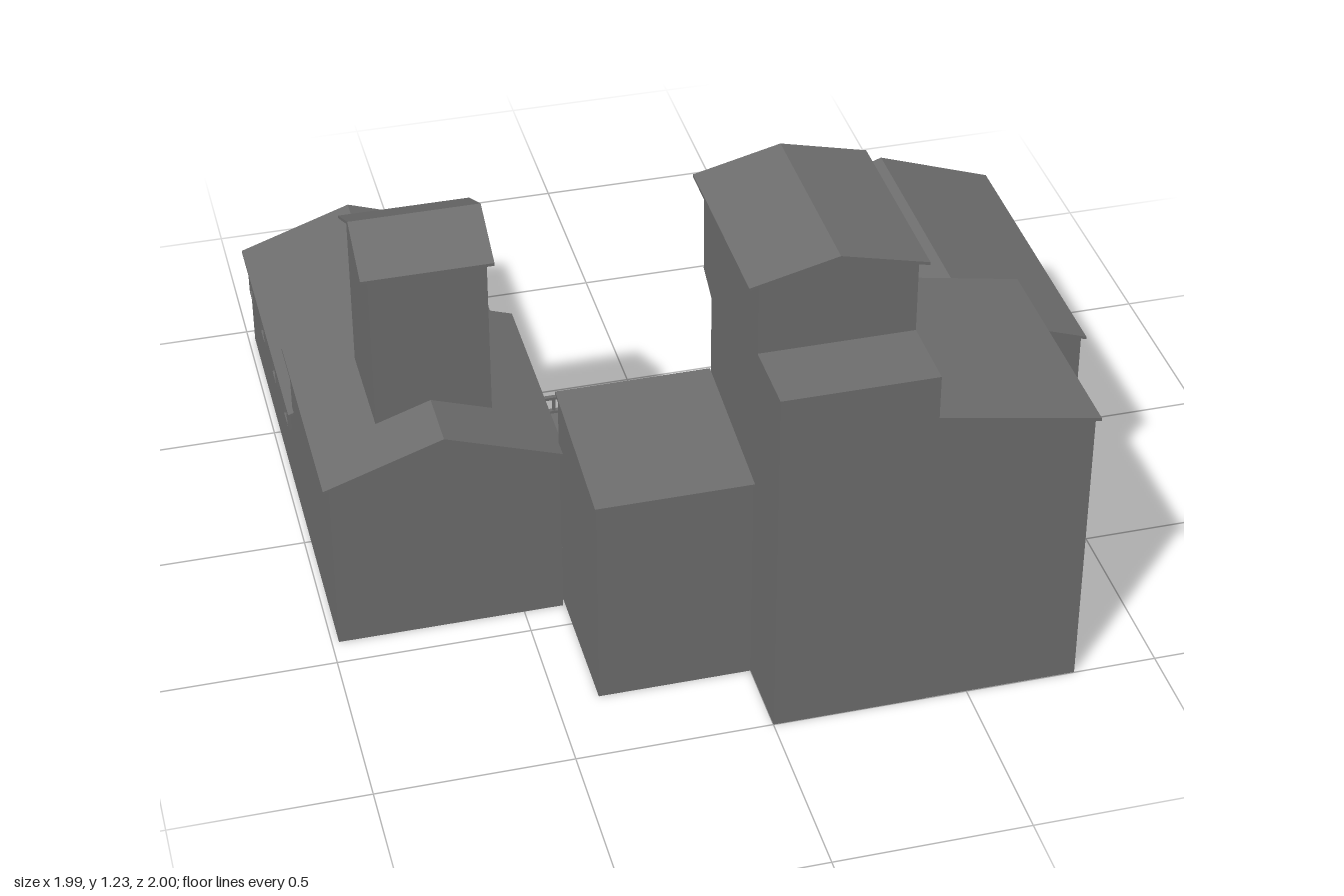
import * as THREE from 'three';

const mat = new THREE.MeshStandardMaterial({ color: 0x6e6e6e, flatShading: true, side: THREE.DoubleSide });

export function createModel() {
  const model = new THREE.Group();

  const add = (name, geo, parent = model) => {
    const mesh = new THREE.Mesh(geo, mat);
    mesh.name = name;
    parent.add(mesh);
    return mesh;
  };

  // Box given by its low and high limits on each axis
  const box = (name, x0, x1, y0, y1, z0, z1, parent) => {
    const m = add(name, new THREE.BoxGeometry(x1 - x0, y1 - y0, z1 - z0), parent);
    m.position.set((x0 + x1) / 2, (y0 + y1) / 2, (z0 + z1) / 2);
    return m;
  };

  const outline = pts => pts.map(p => new THREE.Vector2(...p));

  // Outline in x/y drawn out from z0 to z1
  const prism = (name, pts, z0, z1, parent, steps = 1) => {
    const geo = new THREE.ExtrudeGeometry(new THREE.Shape(outline(pts)), { depth: z1 - z0, steps, bevelEnabled: false });
    const m = add(name, geo, parent);
    m.position.z = z0;
    return m;
  };

  // Outline in z/y drawn out from x0 to x1
  const sidePrism = (name, pts, x0, x1, steps = 1) => {
    const m = prism(name, pts.map(([z, y]) => [-z, y]), 0, x1 - x0, model, steps);
    m.rotation.y = Math.PI / 2;
    m.position.set(x0, 0, 0);
    return m;
  };

  // Side outline whose top is lifted to a ridge halfway across
  const ridgedPrism = (name, pts, x0, x1, top, ridge) => {
    const geo = sidePrism(name, pts, x0, x1, 2).geometry;
    const p = geo.attributes.position;
    for (let i = 0; i < p.count; i++) {
      if (Math.abs(p.getY(i) - top) < 1e-4 && Math.abs(p.getZ(i) - (x1 - x0) / 2) < 1e-4) p.setY(i, ridge);
    }
    geo.computeVertexNormals();
  };

  // Flat slab with its two back corners cut
  const slab = (name, x0, x1, zBack, zFront, y0, y1, cut = 0.02) => {
    const m = prism(name, [[x0, -zFront], [x1, -zFront], [x1, -zBack - cut], [x1 - cut * 0.3, -zBack - cut * 0.3], [x1 - cut, -zBack],
      [x0 + cut, -zBack], [x0 + cut * 0.3, -zBack - cut * 0.3], [x0, -zBack - cut]], 0, y1 - y0);
    m.rotation.x = -Math.PI / 2;
    m.position.set(0, y0, 0);
  };

  // Thin roof sheet following a line of points
  const roof = (name, line, z0, z1, parent, t = 0.008) =>
    prism(name, [...line, ...line.map(([x, y]) => [x, y - t]).reverse()], z0, z1, parent);

  // Gabled house, ridge along z; limits are those of the roof, ox and oz its overhangs
  const house = (name, x0, x1, z0, z1, base, eave, ridge, ox, oz) => {
    const g = new THREE.Group();
    g.name = name;
    model.add(g);
    const c = (x0 + x1) / 2;
    const wallTop = eave + (ridge - eave) * ox / (c - x0) - 0.004;
    prism(name + 'Walls', [[x0 + ox, base], [x1 - ox, base], [x1 - ox, wallTop], [c, ridge - 0.004], [x0 + ox, wallTop]], z0 + oz, z1 - oz, g);
    roof(name + 'Roof', [[x0, eave], [c, ridge], [x1, eave]], z0, z1, g);
    return g;
  };

  // Framed opening with a pane and crossing bars, facing local +z
  const opening = (name, w, h, x, y, z, turn, nx = 1, ny = 1, d = 0.01, bar = 0.008) => {
    const g = new THREE.Group();
    g.name = name;
    const a = w / 2, b = h / 2;
    for (const s of [-1, 1]) {
      box('frameSide', s * a - bar / 2, s * a + bar / 2, -b, b, 0, d, g);
      box('frameRail', -a - bar / 2, a + bar / 2, s * b - bar / 2, s * b + bar / 2, 0, d, g);
    }
    box('pane', -a, a, -b, b, -0.002, 0.003, g);
    for (let i = 1; i < nx; i++) box('bar', -a + w * i / nx - 0.003, -a + w * i / nx + 0.003, -b, b, 0, d * 0.7, g);
    for (let i = 1; i < ny; i++) box('bar', -a, a, -b + h * i / ny - 0.003, -b + h * i / ny + 0.003, 0, d * 0.7, g);
    g.position.set(x, y, z);
    g.rotation.y = turn;
    model.add(g);
  };
  const BACK = Math.PI, LEFT = Math.PI / 2, RIGHT = -Math.PI / 2;

  // Railing along x with balusters
  const railing = (name, x0, x1, z, y0, y1, count, r) => {
    const g = new THREE.Group();
    g.name = name;
    model.add(g);
    for (const y of [y0 + r, y1 - r]) box('rail', x0 - r, x1 + r, y - r, y + r, z - 1.5 * r, z + 1.5 * r, g);
    for (let i = 0; i <= count; i++) {
      const x = x0 + (x1 - x0) * i / count;
      box('baluster', x - r, x + r, y0, y1, z - r, z + r, g);
    }
  };

  // Low barn with side windows
  house('barn', -0.997, -0.383, -0.975, -0.17, 0, 0.295, 0.4, 0.015, 0.015);
  for (let i = 0; i < 4; i++) {
    const z = -0.865 + i * 0.198;
    opening('barnWindow', 0.07, 0.065, -0.982, 0.237, z, RIGHT, 2, 1);
    opening('barnWindow', 0.07, 0.065, -0.398, 0.237, z, LEFT, 2, 1);
  }

  // Thin uneven patches on the barn roof, corners as z and height
  const slope = Math.atan2(0.105, 0.307);
  [
    [[-0.42, 0.31], [-0.49, 0.39], [-0.555, 0.39], [-0.53, 0.31]],
    [[-0.64, 0.33], [-0.66, 0.375], [-0.75, 0.375], [-0.727, 0.325]],
    [[-0.785, 0.385], [-0.88, 0.39], [-0.92, 0.325], [-0.84, 0.325]],
  ].forEach(corners => {
    const shape = new THREE.Shape(outline(corners.map(([z, y]) => [(0.35 - y) / Math.sin(slope), -z])));
    const pts = shape.getPoints();
    const mid = pts.slice(0, 4).reduce((s, p) => s.add(p), new THREE.Vector2()).divideScalar(4);
    shape.holes.push(new THREE.Path(pts.map(p => p.clone().lerp(mid, 0.08))));
    const patch = add('roofPatch', new THREE.ExtrudeGeometry(shape, { depth: 0.003, bevelEnabled: false }));
    patch.rotation.set(-Math.PI / 2, 0, -slope, 'ZXY');
    patch.position.set(-0.5365, 0.3475, 0);
  });

  // Barn gate: door, posts and lintel
  box('barnDoor', -0.81, -0.57, 0, 0.2, -0.965, -0.958);
  for (const x of [-0.82, -0.56]) box('gatePost', x - 0.013, x + 0.013, 0, 0.2, -0.987, -0.955);
  slab('gateLintel', -0.857, -0.523, -1, -0.955, 0.2, 0.222);

  // Taller west house and its square tower
  house('westHouse', -0.997, -0.383, -0.205, 0.432, 0, 0.49, 0.595, 0.015, 0.01);
  opening('westGableWindow', 0.085, 0.06, -0.69, 0.475, -0.195, BACK, 2, 1);
  opening('westDoor', 0.13, 0.22, -0.398, 0.285, 0.29, LEFT, 1, 2);
  house('westTower', -0.27, 0.035, -0.85, -0.517, 0.4, 0.982, 1.06, 0.007, 0.018).rotation.y = Math.PI / 2;
  opening('westTowerWindow', 0.145, 0.14, -0.536, 0.89, 0.118, LEFT, 4, 4);

  // Terrace between the wings
  box('terrace', -0.4, 0.4, 0, 0.17, -0.182, 0.4);
  railing('terraceRailing', -0.385, 0.385, -0.176, 0.17, 0.222, 30, 0.004);

  // Front lean-to
  sidePrism('leanTo', [[0.79, 0], [0.79, 0.592], [0.385, 0.642], [0.385, 0]], -0.392, 0.005);
  sidePrism('leanToRoof', [[0.802, 0.59], [0.802, 0.598], [0.38, 0.65], [0.38, 0.642]], -0.397, 0);

  // Main block with a flat front ledge and an upper storey jutting out at the back
  ridgedPrism('mainBlock', [[1, 0], [1, 0.985], [0.803, 0.985], [0.803, 1.18], [0.315, 1.18], [0.315, 0.91], [0.39, 0.868], [0.39, 0]],
    0, 0.39, 1.18, 1.228);
  roof('upperRoof', [[-0.025, 1.18], [0.195, 1.234], [0.415, 1.18]], 0.302, 0.812);
  opening('upperWindow', 0.08, 0.06, 0.125, 1.07, 0.315, BACK, 2, 1);
  opening('upperWindow', 0.08, 0.06, 0.28, 1.07, 0.315, BACK, 2, 1);
  for (const x of [0.095, 0.285]) opening('shutteredWindow', 0.135, 0.15, x, 0.77, 0.39, BACK, 6, 1, 0.006);

  // Shed-roofed side of the main block
  prism('mainSide', [[0.385, 0], [0.785, 0], [0.785, 0.787], [0.385, 0.861]], 0.395, 0.999);
  roof('mainSideRoof', [[0.385, 0.867], [0.8, 0.79]], 0.39, 1);

  // East house with its back upper floor jutting over the ground floor
  ridgedPrism('eastWalls', [[0.41, 0], [0.41, 0.595], [-0.371, 0.595], [-0.371, 0.18], [-0.295, 0.18], [-0.295, 0]],
    0.393, 0.977, 0.595, 0.695);
  roof('eastRoof', [[0.38, 0.595], [0.685, 0.7], [0.99, 0.595]], -0.383, 0.414);
  opening('eastSideDoor', 0.13, 0.22, 0.393, 0.285, 0.27, RIGHT, 1, 2);

  // Posts and braces under the jutting floor
  for (let i = 0; i < 4; i++) {
    const x = 0.41 + i * 0.183;
    box('bracePost', x - 0.016, x + 0.016, 0, 0.18, -0.308, -0.285);
    sidePrism('brace', [[-0.3, 0.09], [-0.3, 0.125], [-0.345, 0.182], [-0.372, 0.182], [-0.372, 0.165]], x - 0.016, x + 0.016);
  }

  // Balcony with door
  slab('balconyFloor', 0.488, 0.879, -0.475, -0.365, 0.385, 0.404);
  railing('balconyFront', 0.5, 0.868, -0.452, 0.4, 0.48, 9, 0.003);
  for (const x of [0.5, 0.868]) box('balconySide', x - 0.003, x + 0.003, 0.4, 0.48, -0.452, -0.37);
  opening('balconyDoor', 0.12, 0.17, 0.684, 0.488, -0.371, BACK, 2, 1);
  box('balconyDoorLintel', 0.605, 0.763, 0.572, 0.585, -0.382, -0.365);

  return model;
}
